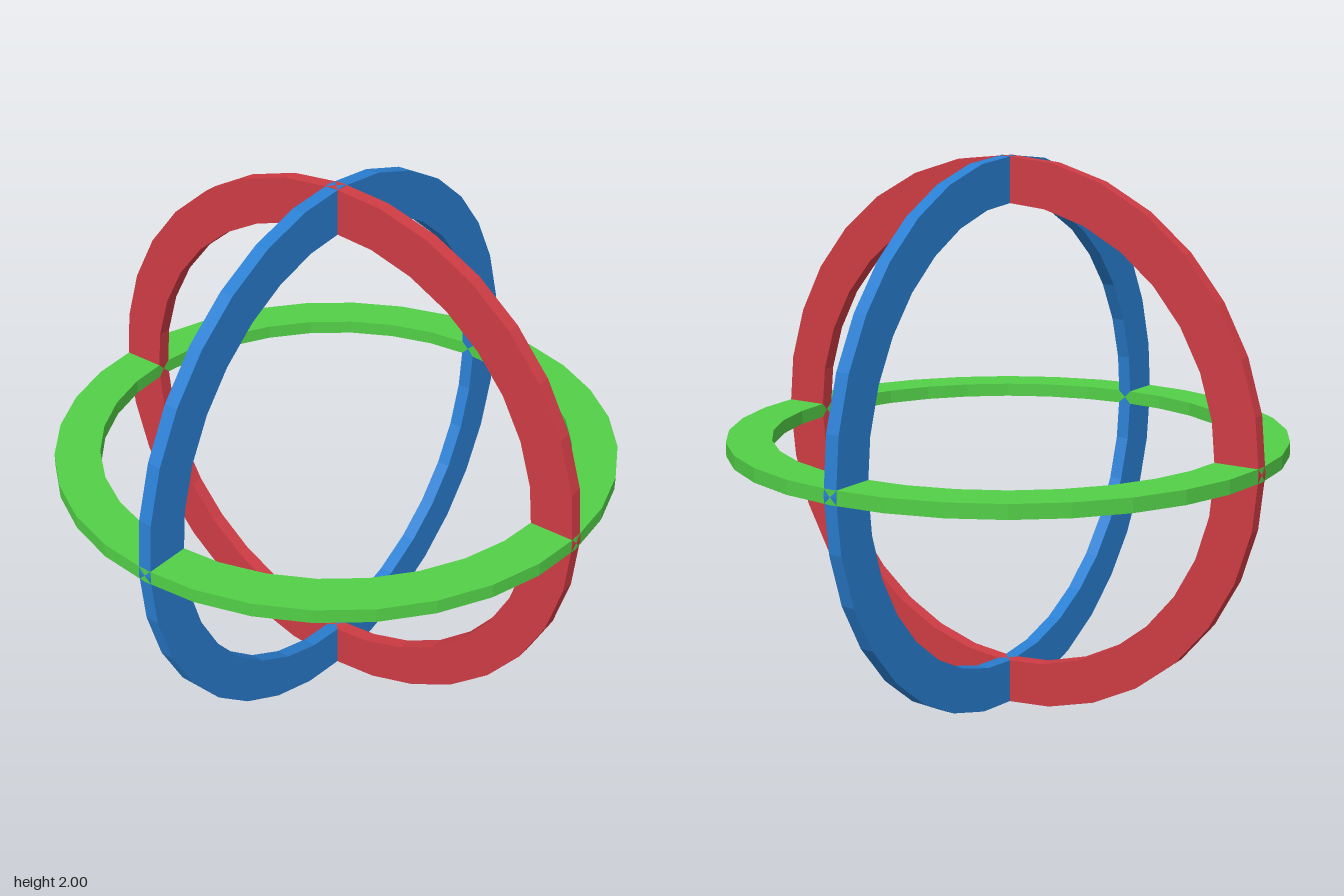
import * as THREE from 'three';

const OUTER = 1, INNER = 0.84, HALF = 0.025, SIDES = 32;

export function createModel() {
  const group = new THREE.Group();

  // Flat band with a rectangular section, turned around the y axis
  const profile = [
    [INNER, -HALF], [OUTER, -HALF], [OUTER, HALF], [INNER, HALF], [INNER, -HALF],
  ].map(([r, y]) => new THREE.Vector2(r, y));
  const band = new THREE.LatheGeometry(profile, SIDES);

  function addRing(name, color, rx, rz) {
    const material = new THREE.MeshStandardMaterial({ color, flatShading: true });
    const ring = new THREE.Mesh(band, material);
    ring.name = name;
    ring.rotation.set(rx, 0, rz);
    ring.position.y = 1;
    group.add(ring);
  }

  // Three interlocking rings, one for each axis
  addRing('horizontalRing', 0x52cf47, 0, 0);
  addRing('frontRing', 0x2a7fd2, Math.PI / 2, 0);
  addRing('sideRing', 0xcf3c44, 0, Math.PI / 2);

  return group;
}
